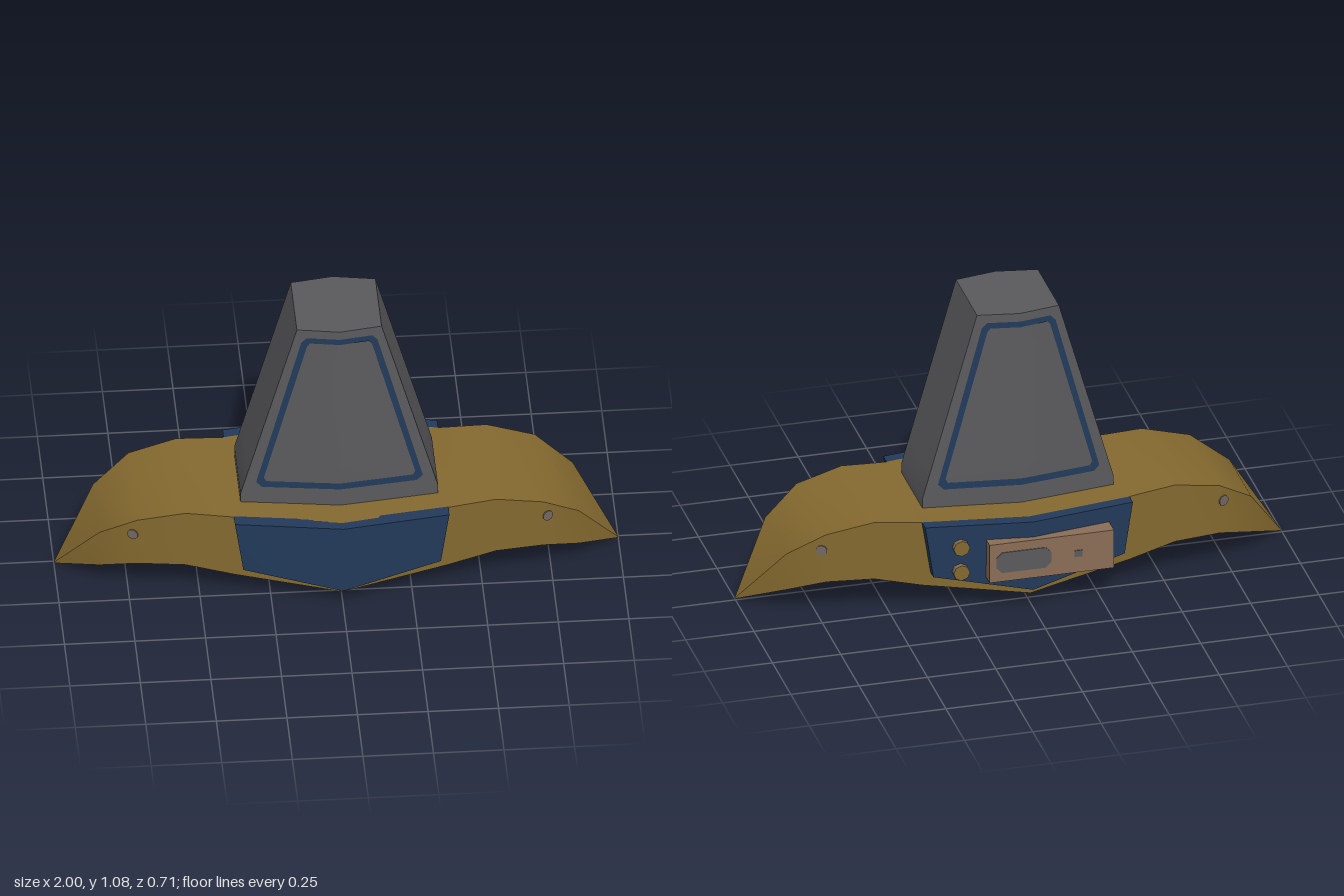
import * as THREE from 'three';
import { toCreasedNormals } from 'three/addons/utils/BufferGeometryUtils.js';

const material = (name, color, side = THREE.FrontSide) => {
  const m = new THREE.MeshStandardMaterial({ color, side });
  m.name = name;
  return m;
};

// Skin a list of rings, each counter-clockwise seen from the far end of the loft.
function loft(rings) {
  const pos = [];
  const tri = (a, b, c) => pos.push(...a, ...b, ...c);
  for (let i = 0; i < rings.length - 1; i++) {
    const a = rings[i], b = rings[i + 1], n = a.length;
    for (let j = 0; j < n; j++) {
      const k = (j + 1) % n;
      tri(a[j], a[k], b[k]);
      tri(a[j], b[k], b[j]);
    }
  }
  const first = rings[0], last = rings[rings.length - 1];
  for (let j = 1; j < first.length - 1; j++) {
    tri(first[0], first[j + 1], first[j]);
    tri(last[0], last[j], last[j + 1]);
  }
  return finish(pos);
}

function finish(pos) {
  const g = new THREE.BufferGeometry();
  g.setAttribute('position', new THREE.Float32BufferAttribute(pos, 3));
  return toCreasedNormals(g, 0.45);
}

// Blade half width, and depth of its folded front (1) or back (-1) face.
const BASE = 0.34, SHOULDER = 0.375, TOP = 1.08, ZC = 0.0175;
const halfWidth = y => y < SHOULDER ? 0.35 : THREE.MathUtils.mapLinear(y, SHOULDER, TOP, 0.35, 0.15);
const faceZ = (x, y, side) => {
  const ridge = THREE.MathUtils.mapLinear(y, BASE, TOP, 0.19, 0.168);
  return ZC + side * THREE.MathUtils.lerp(ridge, 0.1425, Math.abs(x) / halfWidth(y));
};

function bladeGeometry() {
  const heights = [0.3, SHOULDER, 0.5, 0.65, 0.8, 0.95, TOP];
  return loft(heights.map(y => {
    const w = halfWidth(y);
    return [[w, 1], [w, -1], [0, -1], [-w, -1], [-w, 1], [0, 1]].map(([x, s]) => [x, y, faceZ(x, y, s)]);
  }));
}

// Inlaid line that follows the folded blade face.
function inlayGeometry(side) {
  const mirror = half => [...half, ...half.map(([x, y]) => [-x, y]).reverse()];
  const outer = mirror([[0.275, 0.41], [0.295, 0.43], [0.135, 1.03], [0.115, 1.05]]);
  const inner = mirror([[0.26, 0.435], [0.268, 0.45], [0.115, 1.015], [0.105, 1.028]]);
  const pos = [], steps = 8, n = outer.length;
  const at = (loop, i, t) => {
    const a = loop[i], b = loop[(i + 1) % n];
    const x = a[0] + (b[0] - a[0]) * t, y = a[1] + (b[1] - a[1]) * t;
    return [x, y, faceZ(x, y, side) + side * 0.004];
  };
  for (let i = 0; i < n; i++) {
    for (let s = 0; s < steps; s++) {
      const a = at(outer, i, s / steps), b = at(outer, i, (s + 1) / steps);
      const c = at(inner, i, (s + 1) / steps), d = at(inner, i, s / steps);
      if (side > 0) pos.push(...a, ...b, ...c, ...a, ...c, ...d);
      else pos.push(...a, ...c, ...b, ...a, ...d, ...c);
    }
  }
  return finish(pos);
}

// Crossguard sections: x, top, bottom, half depth.
function guardGeometry() {
  const half = [
    [0, 0.34, 0.04, 0.305], [0.38, 0.34, 0.09, 0.24], [0.55, 0.355, 0.13, 0.225],
    [0.72, 0.318, 0.13, 0.203], [0.85, 0.23, 0.088, 0.145], [1, 0.003, 0, 0.001],
  ];
  const all = [...half.slice(1).reverse().map(([x, ...r]) => [-x, ...r]), ...half];
  return loft(all.map(([x, t, b, h]) => [[x, t, 0.01 + h], [x, b, 0.01 + h], [x, b, 0.01 - h], [x, t, 0.01 - h]]));
}

// Folded shield plate; z pairs are [front, back] at its ends and middle.
function plateGeometry(end, mid) {
  const ring = (xt, xb, bottom, [zf, zb]) => [[xt, 0.34, zf], [xb, bottom, zf], [xb, bottom, zb], [xt, 0.34, zb]];
  return loft([ring(-0.38, -0.35, 0.14, end), ring(0, 0, 0.07, mid), ring(0.38, 0.35, 0.14, end)]);
}

export function createModel() {
  const steel = material('dark steel', 0x5a595c);
  const brass = material('aged brass', 0x84692f);
  const blue = material('navy blue', 0x223a5a, THREE.DoubleSide);
  const copper = material('dull copper', 0x8a6d56);
  const rivetGrey = material('rivet grey', 0x736962);

  const model = new THREE.Group();
  model.name = 'bladeAndGuard';
  const add = (name, geometry, mat, x = 0, y = 0, z = 0) => {
    const mesh = new THREE.Mesh(geometry, mat);
    mesh.name = name;
    mesh.position.set(x, y, z);
    model.add(mesh);
    return mesh;
  };

  add('blade', bladeGeometry(), steel);
  add('frontInlay', inlayGeometry(1), blue);
  add('backInlay', inlayGeometry(-1), blue);
  add('crossguard', guardGeometry(), brass);
  add('frontPlate', plateGeometry([0.295, 0.245], [0.353, 0.3]), blue);
  add('backPlate', plateGeometry([-0.23, -0.275], [-0.285, -0.33]), blue);

  // Rivets on the tapering arms, front and back
  for (const sx of [-1, 1]) {
    for (const sz of [-1, 1]) {
      const disc = new THREE.CylinderGeometry(0.02, 0.02, 0.008, 10).rotateX(Math.PI / 2);
      const rivet = add('armRivet', disc, rivetGrey, sx * 0.735, 0.255, 0.01 + sz * 0.197);
      rivet.rotation.y = sx * sz * 0.42;
    }
  }

  // Control box on the back plate with its window and small button
  add('controlBox', new THREE.BoxGeometry(0.455, 0.15, 0.07), copper, -0.0625, 0.205, -0.317);
  const w = 0.1, h = 0.04, c = 0.02;
  const windowShape = new THREE.Shape([
    [-w + c, -h], [w - c, -h], [w, -h + c], [w, h - c], [w - c, h], [-w + c, h], [-w, h - c], [-w, -h + c],
  ].map(p => new THREE.Vector2(...p)));
  const pane = new THREE.ExtrudeGeometry(windowShape, { depth: 0.004, bevelEnabled: false });
  add('boxWindow', pane, steel, 0.04, 0.205, -0.3545);
  add('boxButton', new THREE.BoxGeometry(0.03, 0.025, 0.004), steel, -0.16, 0.205, -0.3525);

  // Pair of knobs beside the box
  for (const y of [0.16, 0.257]) {
    const knob = new THREE.CylinderGeometry(0.03, 0.03, 0.04, 8).rotateX(-Math.PI / 2);
    add('knob', knob, [copper, brass, brass], 0.255, y, -0.29);
  }
  return model;
}
